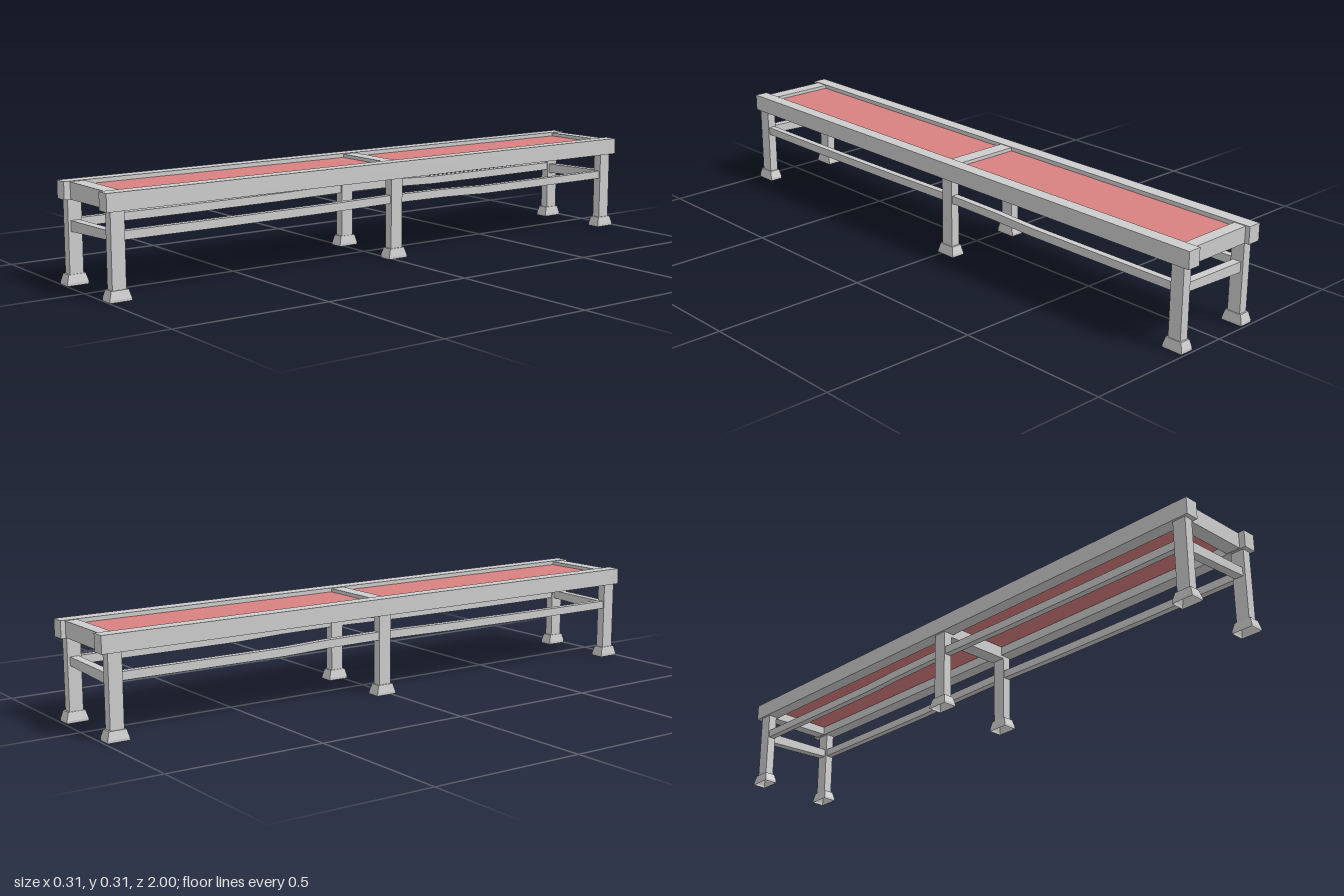
import * as THREE from 'three';

const frameMat = new THREE.MeshStandardMaterial({ color: 0xcccccc, flatShading: true });
const footMat = new THREE.MeshStandardMaterial({ color: 0xcccccc, flatShading: true, side: THREE.DoubleSide });
const panelMat = new THREE.MeshStandardMaterial({ color: 0xd98080, flatShading: true });

export function createModel() {
  const group = new THREE.Group();

  const add = (name, geometry, material = frameMat) => {
    const mesh = new THREE.Mesh(geometry, material);
    mesh.name = name;
    group.add(mesh);
    return mesh;
  };

  // Box given by its limits
  const box = (x0, x1, y0, y1, z0, z1, segments = 1) =>
    new THREE.BoxGeometry(x1 - x0, y1 - y0, z1 - z0, 1, 1, segments)
      .translate((x0 + x1) / 2, (y0 + y1) / 2, (z0 + z1) / 2);

  // Moves the vertices of a geometry by a rule
  const bend = (geometry, rule) => {
    const p = geometry.attributes.position;
    const v = new THREE.Vector3();
    for (let i = 0; i < p.count; i++) {
      rule(v.fromBufferAttribute(p, i));
      p.setXYZ(i, v.x, v.y, v.z);
    }
    geometry.computeVertexNormals();
    return geometry;
  };

  // Hollow foot: short plinth tapering up to a smaller flat top
  const footGeometry = () => {
    const r = Math.SQRT2;
    const profile = [[0, 0.033], [0.018, 0.033], [0.0228, 0.008], [0.0228, 0]]
      .reverse().map(([x, y]) => new THREE.Vector2(x * r, y));
    return new THREE.LatheGeometry(profile, 4).rotateY(Math.PI / 4).scale(1, 1, 1.53);
  };

  // Height of the wavy side stretchers along z
  const wave = [[-1, 0.185], [-0.6, 0.184], [-0.38, 0.184], [-0.25, 0.189],
    [-0.02, 0.191], [0.25, 0.187], [0.6, 0.185], [1, 0.185]];
  const waveHeight = z => {
    const i = Math.max(1, wave.findIndex(p => p[0] >= z));
    const [a, b] = [wave[i - 1], wave[i]];
    return THREE.MathUtils.mapLinear(z, a[0], b[0], a[1], b[1]);
  };

  const legZ = [0.964, -0.02, -0.957];
  for (const s of [-1, 1]) {
    const side = s > 0 ? 'left' : 'right';
    const span = (a, b) => (s > 0 ? [a, b] : [-b, -a]);

    // Long top rails
    add(side + 'Rail', box(...span(0.109, 0.154), 0.256, 0.31, -1, 1));

    // Legs with feet
    for (const z of legZ) {
      add(side + 'Leg', box(...span(0.117, 0.147), 0.033, 0.258, z - 0.022, z + 0.022));
      add(side + 'Foot', footGeometry(), footMat).position.set(s * 0.1325, 0, z);
    }

    // Wavy side stretchers
    add(side + 'Stretcher', bend(box(...span(0.121, 0.143), -0.013, 0.013, -0.945, 0.95, 24),
      v => { v.y += waveHeight(v.z); }));
  }

  // Slanted end stretchers
  for (const z of [legZ[0], legZ[2]]) {
    add('endStretcher', bend(box(-0.118, 0.118, 0, 1, z - 0.014, z + 0.014), v => {
      const t = (v.x + 0.118) / 0.236;
      v.y = v.y > 0.5 ? 0.193 + 0.005 * t : 0.16 + 0.011 * t;
    }));
  }

  // Cross rails at the ends and a deeper one in the middle
  for (const [name, z0, z1, bottom] of [['frontRail', 0.933, 0.98, 0.256],
    ['middleRail', -0.048, 0.002, 0.245], ['backRail', -0.985, -0.945, 0.256]]) {
    add(name, bend(box(-0.118, 0.118, bottom, 0.308, z0, z1), v => {
      if (v.y < 0.3 && v.x > 0) v.y += 0.002;
    }));
  }

  // Recessed seat panels
  add('frontSeatPanel', box(-0.11, 0.11, 0.286, 0.297, 0, 0.935), panelMat);
  add('backSeatPanel', box(-0.11, 0.11, 0.286, 0.297, -0.947, -0.046), panelMat);

  return group;
}
